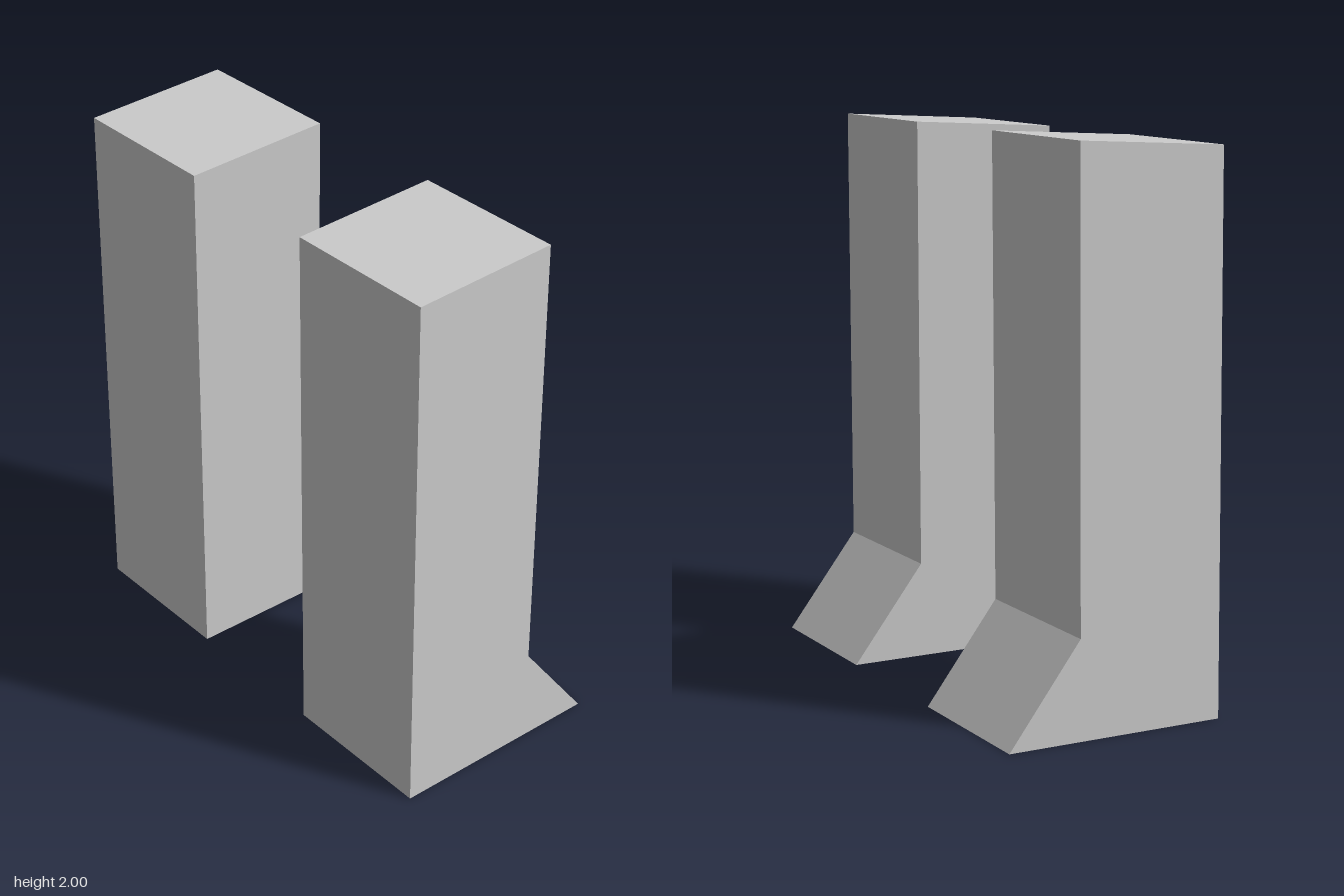
import * as THREE from 'three';

// Side outline of a boot-like leg, toe pointing to +x
const OUTLINE = [[-0.41, 0], [0.41, 0], [0.14, 0.355], [0.15, 2], [-0.4, 1.97]];
const WIDTH = 0.594;
const INNER = 0.294; // gap from the centre plane to the leg at the ground
const LEAN = 0.009; // inward lean over the full height

function makeLeg(side, name, material) {
  const shape = new THREE.Shape(OUTLINE.map(([x, y]) => new THREE.Vector2(x, y)));
  const geometry = new THREE.ExtrudeGeometry(shape, { depth: WIDTH, bevelEnabled: false });
  geometry.translate(0, 0, side * (INNER + WIDTH / 2) - WIDTH / 2);

  // Lean the leg slightly towards its partner
  const pos = geometry.attributes.position;
  for (let i = 0; i < pos.count; i++) {
    pos.setZ(i, pos.getZ(i) - side * LEAN * pos.getY(i) / 2);
  }
  geometry.computeVertexNormals();

  const leg = new THREE.Mesh(geometry, material);
  leg.name = name;
  return leg;
}

export function createModel() {
  const model = new THREE.Group();
  model.name = 'legs';
  const material = new THREE.MeshStandardMaterial({ color: 0xcccccc, flatShading: true });
  model.add(makeLeg(1, 'frontLeg', material), makeLeg(-1, 'backLeg', material));
  return model;
}
